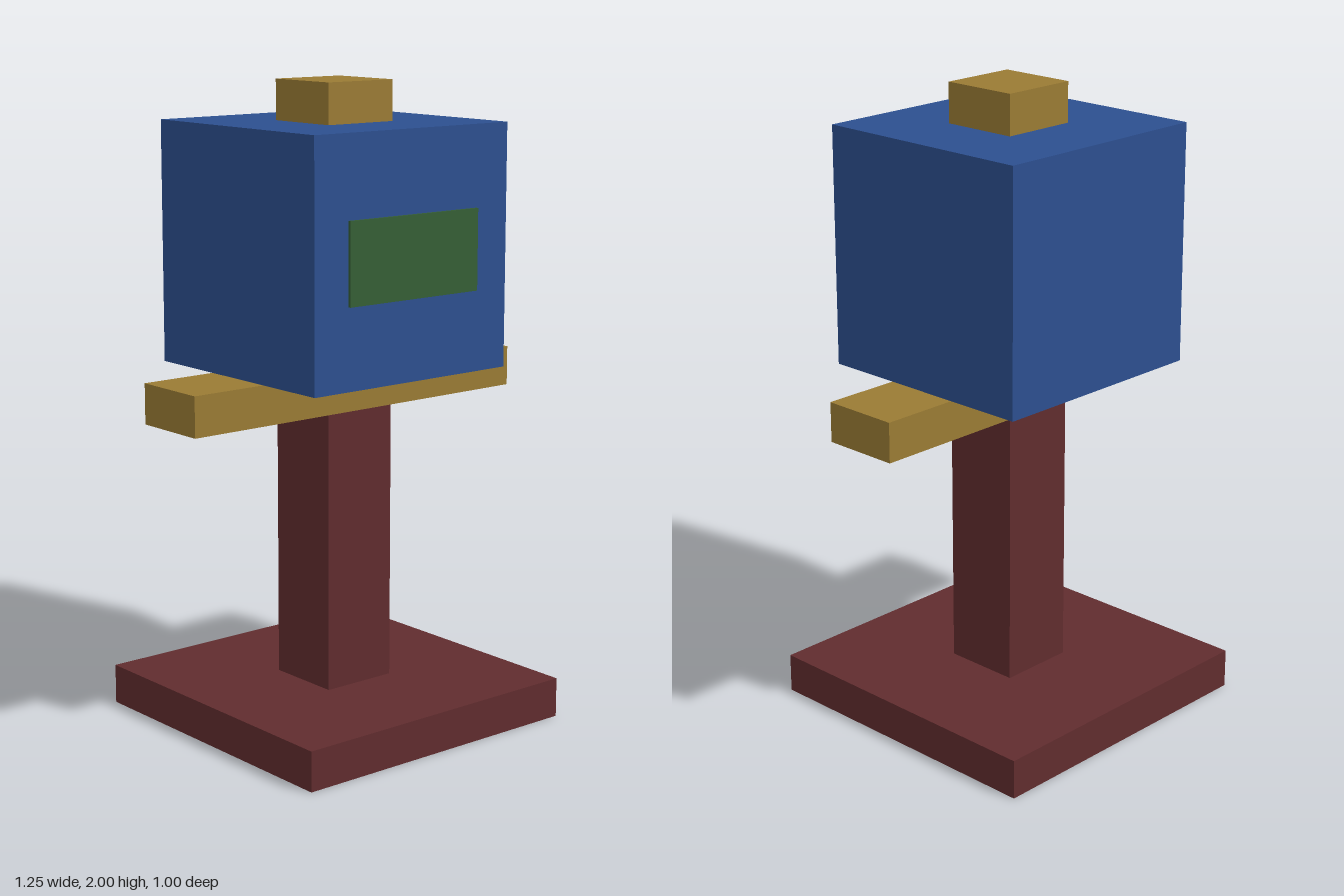
import * as THREE from 'three';

const paint = (name, color, side = THREE.FrontSide) => {
  const m = new THREE.MeshStandardMaterial({ color, side });
  m.name = name;
  return m;
};

export function createModel() {
  const maroon = paint('maroon', 0x602c2e, THREE.DoubleSide);
  const ochre = paint('ochre', 0x9a7b34);
  const blue = paint('blue', 0x2c4f8f);
  const green = paint('green', 0x355e35);
  const model = new THREE.Group();
  model.name = 'postedBox';

  // Block from its extents on each axis
  const block = (name, material, [x0, x1], [y0, y1], [z0, z1]) => {
    const geometry = new THREE.BoxGeometry(x1 - x0, y1 - y0, z1 - z0);
    const mesh = new THREE.Mesh(geometry, material);
    mesh.name = name;
    mesh.position.set((x0 + x1) / 2, (y0 + y1) / 2, (z0 + z1) / 2);
    model.add(mesh);
    return mesh;
  };
  const narrow = [-0.125, 0.125];

  // Hollow base: the underside face is left out (box faces run +x -x +y -y +z -z)
  const base = block('base', maroon, [-0.5, 0.5], [0, 0.125], [-0.5, 0.5]);
  const index = Array.from(base.geometry.index.array);
  index.splice(18, 6);
  base.geometry.setIndex(index);
  base.geometry.clearGroups();

  // Post and crossbar
  block('post', maroon, narrow, [0.125, 1], narrow);
  block('crossbar', ochre, [-0.625, 0.625], [1, 1.125], narrow);

  // Head with its front panel and top cap
  block('head', blue, [-0.375, 0.375], [1.125, 1.875], [-0.375, 0.365]);
  block('frontPanel', green, [-0.25, 0.25], [1.375, 1.625], [0.3655, 0.375]);
  block('topCap', ochre, narrow, [1.875, 2], narrow);

  return model;
}
